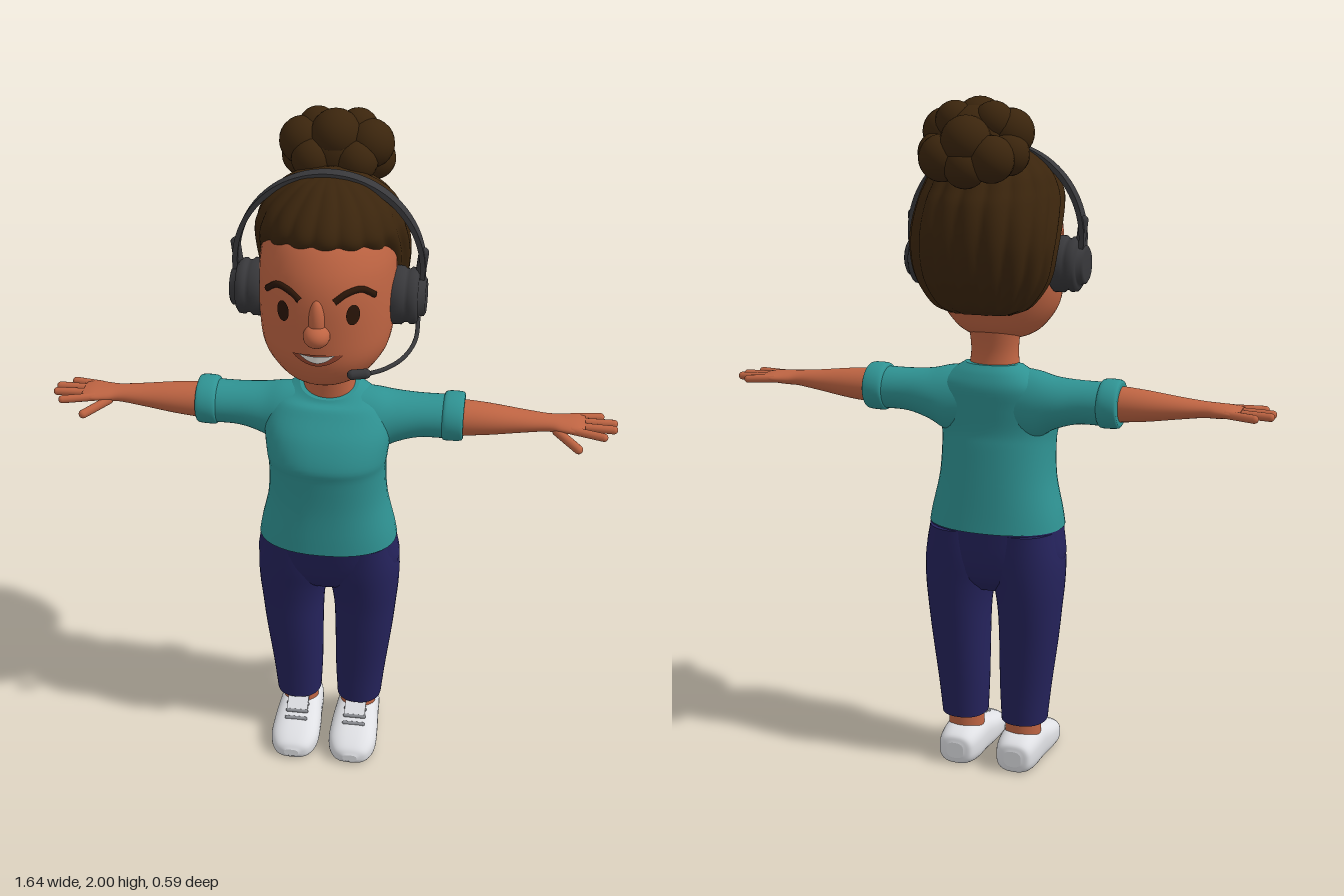
import * as THREE from 'three';

const mat = (name, color) => Object.assign(new THREE.MeshStandardMaterial({ color }), { name });

export function createModel() {
  const skin = mat('skin', 0xc06543), hair = mat('hair', 0x3b250d), shirt = mat('shirt', 0x2f9393);
  const trousers = mat('trousers', 0x25235c), shoe = mat('shoe', 0xdfe0e4), lace = mat('lace', 0x8b8d92);
  const plastic = mat('headsetPlastic', 0x38383b), dark = mat('eyeAndBrow', 0x2a1508);
  const teethMat = mat('teeth', 0xf0ece6), lip = mat('lip', 0x96452e);
  const root = new THREE.Group();

  const add = (name, geometry, material, parent = root) => {
    const mesh = new THREE.Mesh(geometry, material);
    mesh.name = name;
    parent.add(mesh);
    return mesh;
  };

  // Smooth skin over oval rings along an axis. Ring: [position, u0, u1, v0, v1],
  // where (u, v) is (x, z) for axis y, (y, z) for axis x and (x, y) for axis z.
  function loft(rings, axis = 'y', { power = 1, seg = 40, sub = 5, warp } = {}) {
    const V = (f) => new THREE.CatmullRomCurve3(rings.map(f), false, 'catmullrom', 0.5);
    const centre = V((r) => new THREE.Vector3(r[0], (r[1] + r[2]) / 2, (r[3] + r[4]) / 2));
    const radius = V((r) => new THREE.Vector3(Math.abs(r[2] - r[1]) / 2, Math.abs(r[4] - r[3]) / 2, 0));
    const n = (rings.length - 1) * sub, pos = [], idx = [];
    const se = (c) => Math.sign(c) * Math.abs(c) ** power;
    const place = (a, u, v, angle) => {
      const p = axis === 'y' ? new THREE.Vector3(u, a, v)
        : axis === 'x' ? new THREE.Vector3(a, u, v) : new THREE.Vector3(u, v, a);
      if (warp) warp(p, angle);
      pos.push(p.x, p.y, p.z);
    };
    const ring = (t) => {
      const c = centre.getPoint(t), r = radius.getPoint(t);
      for (let j = 0; j < seg; j++) {
        const q = (j / seg) * Math.PI * 2;
        place(c.x, c.y + r.x * se(Math.cos(q)), c.z + r.y * se(Math.sin(q)), q);
      }
      return c;
    };
    const flip = (axis === 'y') !== (rings[rings.length - 1][0] < rings[0][0]);
    const tri = (a, b, c) => (flip ? idx.push(a, c, b) : idx.push(a, b, c));
    for (let i = 0; i <= n; i++) ring(i / n);
    for (let i = 0; i < n; i++) for (let j = 0; j < seg; j++) {
      const a = i * seg + j, b = i * seg + (j + 1) % seg;
      tri(a, b, a + seg);
      tri(b, b + seg, a + seg);
    }
    for (const end of [0, 1]) { // flat end caps with their own edge
      const start = pos.length / 3, c = ring(end), mid = pos.length / 3;
      place(c.x, c.y, c.z, 0);
      for (let j = 0; j < seg; j++) {
        const a = start + j, b = start + (j + 1) % seg;
        end ? tri(a, b, mid) : tri(b, a, mid);
      }
    }
    const g = new THREE.BufferGeometry();
    g.setAttribute('position', new THREE.Float32BufferAttribute(pos, 3));
    g.setIndex(idx);
    g.computeVertexNormals();
    return g;
  }

  const tube = (points, r, seg = 24) =>
    new THREE.TubeGeometry(new THREE.CatmullRomCurve3(points.map((p) => new THREE.Vector3(...p))), seg, r, 10);

  // Rounded bar between two points
  function bar(name, a, b, r, material) {
    const A = new THREE.Vector3(...a), B = new THREE.Vector3(...b), d = B.clone().sub(A);
    const m = add(name, new THREE.CapsuleGeometry(r, d.length(), 6, 12), material);
    m.position.copy(A).add(B).multiplyScalar(0.5);
    m.quaternion.setFromUnitVectors(new THREE.Vector3(0, 1, 0), d.normalize());
    return m;
  }

  // Head and neck
  const head = add('head', loft([
    [1.308, -0.05, 0.05, 0.03, 0.14], [1.32, -0.09, 0.09, -0.02, 0.18], [1.35, -0.13, 0.13, -0.07, 0.215],
    [1.41, -0.17, 0.17, -0.11, 0.243], [1.49, -0.185, 0.185, -0.15, 0.25], [1.6, -0.187, 0.187, -0.18, 0.25],
    [1.68, -0.18, 0.18, -0.18, 0.226], [1.75, -0.155, 0.155, -0.16, 0.175], [1.82, -0.08, 0.08, -0.08, 0.08],
  ]), skin);
  add('neck', loft([[1.18, -0.09, 0.09, -0.06, 0.065], [1.23, -0.076, 0.076, -0.052, 0.068],
    [1.29, -0.07, 0.07, -0.05, 0.075], [1.38, -0.08, 0.08, -0.07, 0.09]]), skin);
  const nose = add('nose', new THREE.SphereGeometry(1, 24, 16), skin);
  nose.scale.set(0.036, 0.032, 0.04);
  nose.position.set(0, 1.505, 0.253);
  const bridge = add('noseBridge', new THREE.SphereGeometry(1, 20, 14), skin);
  bridge.scale.set(0.022, 0.06, 0.025);
  bridge.position.set(0, 1.545, 0.246);

  // Painted face details, laid on the surface of the head
  const caster = new THREE.Raycaster();
  const faceZ = (x, y) => {
    caster.set(new THREE.Vector3(x, y, 1), new THREE.Vector3(0, 0, -1));
    const hit = caster.intersectObject(head)[0];
    return hit ? hit.point.z : 0.2;
  };
  function decal(name, geometry, material, x, y, lift = 0.004) {
    const p = geometry.attributes.position;
    for (let i = 0; i < p.count; i++) {
      const px = p.getX(i) + x, py = p.getY(i) + y;
      p.setXYZ(i, px, py, faceZ(px, py) + lift);
    }
    geometry.computeVertexNormals();
    add(name, geometry, material);
  }
  for (const s of [-1, 1]) {
    decal('eye', new THREE.CircleGeometry(1, 24).scale(0.017, 0.029, 1), dark, s * 0.093, 1.56);
    const brow = [[0.045, 1.6], [0.075, 1.62], [0.11, 1.625], [0.143, 1.598]];
    add('eyebrow', tube(brow.map(([x, y]) => [s * x, y, faceZ(s * x, y)]), 0.009), dark);
  }
  // Ribbon bent upward at both ends
  const smile = (w, h) => {
    const g = new THREE.PlaneGeometry(w, h, 14, 1), p = g.attributes.position;
    for (let i = 0; i < p.count; i++) {
      const k = (2 * p.getX(i)) / w;
      p.setY(i, p.getY(i) * (1.05 - k * k) + 0.014 * k * k);
    }
    return g;
  };
  decal('mouth', smile(0.135, 0.034), lip, 0, 1.43, 0.004);
  decal('teeth', smile(0.095, 0.02), teethMat, 0, 1.434, 0.008);

  // Hair cap with combed ridges, and a bun of curls
  add('hair', loft([
    [1.405, -0.09, 0.09, -0.14, -0.08], [1.43, -0.145, 0.145, -0.175, -0.03], [1.5, -0.192, 0.192, -0.215, 0.03],
    [1.58, -0.208, 0.208, -0.238, 0.06], [1.65, -0.21, 0.21, -0.242, 0.12], [1.71, -0.203, 0.203, -0.232, 0.185],
    [1.75, -0.192, 0.192, -0.212, 0.198], [1.8, -0.165, 0.165, -0.175, 0.165], [1.85, -0.1, 0.1, -0.1, 0.1],
    [1.868, -0.03, 0.03, -0.03, 0.03],
  ], 'y', { seg: 144, warp: (p, q) => {
    const k = 0.975 + 0.05 * Math.abs(Math.sin(q * 9 + p.y * 4));
    p.x *= k;
    p.z *= k;
  } }), hair);
  const curls = [[0, 1.88, -0.14, 0.1], [0, 1.93, -0.11, 0.07], [0, 1.885, -0.222, 0.07], [0, 1.82, -0.23, 0.06]];
  for (const s of [-1, 1]) curls.push([s * 0.092, 1.905, -0.125, 0.066], [s * 0.1, 1.85, -0.165, 0.058],
    [s * 0.07, 1.84, -0.22, 0.064], [s * 0.055, 1.935, -0.155, 0.055], [s * 0.06, 1.87, -0.08, 0.058]);
  for (const [x, y, z, r] of curls) add('bunCurl', new THREE.SphereGeometry(r, 20, 14), hair).position.set(x, y, z);

  // Headset: band, ear cups, boom and microphone
  const arc = new THREE.Shape();
  arc.absarc(0, 0, 0.264, -0.2, Math.PI + 0.2, false);
  arc.absarc(0, 0, 0.25, Math.PI + 0.2, -0.2, true);
  add('headband', new THREE.ExtrudeGeometry(arc, { depth: 0.042, bevelEnabled: false, curveSegments: 48 }), plastic)
    .position.set(0, 1.61, 0.002);
  const cup = [[0, 0.17], [0.07, 0.17], [0.08, 0.18], [0.08, 0.205], [0.073, 0.213], [0.073, 0.222], [0.078, 0.228],
    [0.076, 0.243], [0.066, 0.25], [0.056, 0.25], [0.054, 0.264], [0.046, 0.269], [0, 0.269]]
    .map(([r, h]) => new THREE.Vector2(r, h));
  for (const s of [-1, 1]) {
    const m = add('earCup', new THREE.LatheGeometry(cup, 40), plastic);
    m.rotation.z = -s * Math.PI / 2;
    m.position.set(0, 1.535, 0.03);
    bar('bandHinge', [s * 0.25, 1.6, 0.023], [s * 0.257, 1.66, 0.023], 0.014, plastic);
  }
  add('microphoneBoom', tube([[0.25, 1.48, 0.05], [0.248, 1.435, 0.09], [0.225, 1.41, 0.15],
    [0.18, 1.4, 0.21], [0.12, 1.396, 0.25]], 0.006), plastic);
  bar('microphone', [0.095, 1.396, 0.25], [0.13, 1.398, 0.243], 0.014, plastic);

  // Shirt body with a neckline that dips at the front
  add('shirtBody', loft([
    [0.755, -0.205, 0.205, -0.11, 0.18], [0.8, -0.197, 0.197, -0.105, 0.18], [0.9, -0.175, 0.175, -0.095, 0.18],
    [1.0, -0.17, 0.17, -0.085, 0.188], [1.05, -0.175, 0.175, -0.08, 0.194], [1.12, -0.182, 0.182, -0.085, 0.165],
    [1.18, -0.17, 0.17, -0.09, 0.118], [1.22, -0.125, 0.125, -0.078, 0.09], [1.246, -0.085, 0.085, -0.06, 0.075],
  ], 'y', { power: 0.88, warp: (p, q) => {
    p.y -= 0.03 * Math.max(0, Math.sin(q)) * THREE.MathUtils.smoothstep(p.y, 1.19, 1.245);
  } }), shirt);

  // Trouser seat
  add('trouserSeat', loft([[0.56, -0.08, 0.08, -0.05, 0.06], [0.6, -0.165, 0.165, -0.085, 0.112],
    [0.66, -0.213, 0.213, -0.1, 0.143], [0.76, -0.202, 0.202, -0.105, 0.168]], 'y', { power: 0.88 }), trousers);

  for (const s of [-1, 1]) {
    const alongX = (rings) => rings.map(([a, ...r]) => [s * a, ...r]);
    const sideX = (rings) => rings.map(([a, x0, x1, ...r]) => [a, s * x0, s * x1, ...r]);

    // Sleeve and turned cuff
    add('sleeve', loft(alongX([[0.05, 1.04, 1.235, -0.07, 0.09], [0.13, 1.03, 1.228, -0.08, 0.09],
      [0.19, 1.062, 1.215, -0.08, 0.075], [0.26, 1.083, 1.21, -0.073, 0.064], [0.34, 1.085, 1.21, -0.073, 0.062]]), 'x'), shirt);
    add('sleeveCuff', loft(alongX([[0.325, 1.09, 1.205, -0.07, 0.06], [0.332, 1.08, 1.218, -0.08, 0.068],
      [0.355, 1.079, 1.221, -0.083, 0.07], [0.38, 1.081, 1.219, -0.081, 0.068], [0.386, 1.087, 1.212, -0.075, 0.062]]), 'x'), shirt);

    // Arm, palm, fingers and thumb
    add('arm', loft(alongX([[0.35, 1.095, 1.203, -0.058, 0.056], [0.45, 1.105, 1.195, -0.054, 0.05],
      [0.55, 1.12, 1.183, -0.043, 0.04], [0.62, 1.13, 1.176, -0.036, 0.035], [0.66, 1.132, 1.173, -0.045, 0.045],
      [0.7, 1.137, 1.17, -0.055, 0.052], [0.728, 1.141, 1.165, -0.048, 0.046]]), 'x'), skin);
    for (const [z0, x, z] of [[-0.04, 0.77, -0.057], [-0.015, 0.808, -0.022], [0.012, 0.808, 0.013], [0.037, 0.78, 0.06]])
      bar('finger', [s * 0.69, 1.153, z0], [s * x, 1.15, z], 0.012, skin);
    bar('thumb', [s * 0.65, 1.142, 0.03], [s * 0.712, 1.122, 0.088], 0.013, skin);

    // Trouser leg and ankle
    add('trouserLeg', loft(sideX([[0.14, 0.027, 0.165, -0.06, 0.087], [0.25, 0.022, 0.177, -0.066, 0.092],
      [0.4, 0.02, 0.196, -0.078, 0.105], [0.5, 0.016, 0.206, -0.088, 0.114], [0.58, 0.003, 0.213, -0.095, 0.126],
      [0.66, -0.02, 0.213, -0.1, 0.14], [0.75, 0, 0.198, -0.1, 0.15]]), 'y', { power: 0.9 }), trousers);
    add('ankle', new THREE.CylinderGeometry(0.055, 0.055, 0.1, 28), skin).position.set(s * 0.092, 0.11, 0.01);

    // Shoe with tongue and laces
    add('shoe', loft([[-0.096, 0.065, 0.12, 0.02, 0.07], [-0.086, 0.04, 0.145, 0, 0.092], [-0.04, 0.027, 0.156, -0.012, 0.108],
      [0.03, 0.022, 0.16, -0.014, 0.112], [0.09, 0.017, 0.165, -0.014, 0.096], [0.16, 0.018, 0.165, -0.014, 0.077],
      [0.205, 0.038, 0.146, -0.005, 0.056], [0.221, 0.07, 0.115, 0.012, 0.036]]
      .map(([z, a, b, ...r]) => [z, s * a, s * b, ...r]), 'z',
    { power: 0.75, warp: (p) => { p.y = Math.max(0, p.y); } }), shoe);
    const tongue = add('shoeTongue', new THREE.BoxGeometry(0.065, 0.012, 0.06), shoe);
    tongue.position.set(s * 0.092, 0.114, 0.078);
    tongue.rotation.x = 0.65;
    for (let i = 0; i < 3; i++) {
      const y = 0.112 - i * 0.011, z = 0.08 + i * 0.023;
      bar('shoeLace', [s * 0.062, y - 0.004, z], [s * 0.122, y - 0.004, z], 0.006, lace);
    }
  }
  return root;
}
